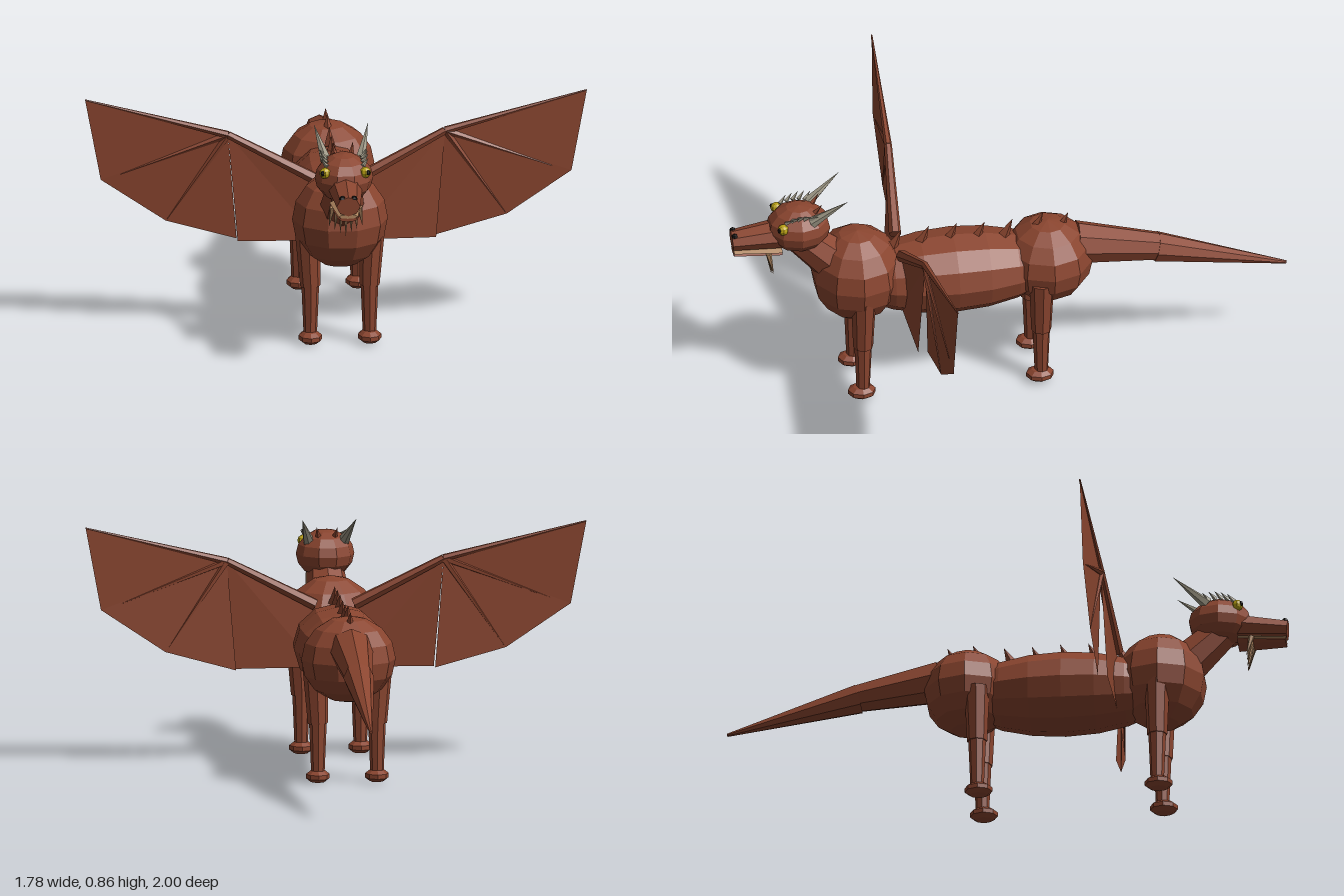
import * as THREE from 'three';

const mat = (name, color, side = THREE.FrontSide) => {
  const m = new THREE.MeshStandardMaterial({ color, flatShading: true, side });
  m.name = name;
  return m;
};

export function createModel() {
  const root = new THREE.Group();
  root.name = 'dragon';
  const hide = mat('hide brown', 0x8a452f);
  const membrane = mat('wing brown', 0x8a452f, THREE.DoubleSide);
  const horn = mat('horn grey', 0x9c9684);
  const tan = mat('beard tan', 0xb08660);
  const yellow = mat('eye yellow', 0xb8a012);
  const black = mat('black', 0x14100e);
  const V = (p) => new THREE.Vector3(...p);

  const add = (name, geo, material, parent = root) => {
    const m = new THREE.Mesh(geo, material);
    m.name = name;
    parent.add(m);
    return m;
  };
  // Faceted ellipsoid
  const ball = (name, pos, radii, material = hide, w = 10, h = 8) => {
    const m = add(name, new THREE.SphereGeometry(1, w, h), material);
    m.position.set(...pos);
    m.scale.set(...radii);
    return m;
  };
  // Tapered rod from a to b
  const limb = (name, a, b, ra, rb, material = hide, sides = 8, parent = root) => {
    const d = V(b).sub(V(a));
    const m = add(name, new THREE.CylinderGeometry(rb, ra, d.length(), sides), material, parent);
    m.position.copy(V(a)).addScaledVector(d, 0.5);
    m.quaternion.setFromUnitVectors(new THREE.Vector3(0, 1, 0), d.normalize());
    return m;
  };

  // Body
  ball('chest', [0, 0.465, 0.545], [0.17, 0.175, 0.165]);
  ball('hips', [0, 0.45, -0.14], [0.168, 0.155, 0.162]);
  const torso = ball('torso', [0, 0.435, 0.2], [0.163, 0.38, 0.148], hide, 12, 10);
  torso.rotation.x = Math.PI / 2;

  // Tail
  limb('tailBase', [0, 0.5, -0.24], [0, 0.447, -0.545], 0.078, 0.05);
  limb('tailTip', [0, 0.447, -0.53], [0, 0.325, -0.998], 0.055, 0.006);

  // Back spines, leaning to the rear
  [[0.4, 0.57], [0.3, 0.575], [0.2, 0.575], [0.1, 0.57], [0, 0.57], [-0.11, 0.585], [-0.2, 0.575]]
    .forEach(([z, y]) =>
      limb('backSpine', [0, y - 0.01, z + 0.015], [0, y + 0.055, z - 0.015], 0.021, 0, hide, 4));

  // Legs and feet
  for (const s of [-1, 1]) for (const z of [0.54, -0.1]) {
    limb('upperLeg', [s * 0.115, 0.42, z], [s * 0.105, 0.215, z], 0.045, 0.036);
    limb('lowerLeg', [s * 0.105, 0.23, z], [s * 0.105, 0.04, z], 0.032, 0.024);
    ball('foot', [s * 0.105, 0.025, z + 0.005], [0.044, 0.025, 0.052], hide, 8, 5);
  }

  // Neck and head
  limb('neck', [0, 0.5, 0.6], [0, 0.66, 0.77], 0.085, 0.062);
  ball('head', [0, 0.685, 0.755], [0.104, 0.087, 0.115]);
  const snout = limb('snout', [0, 0.663, 0.81], [0, 0.65, 0.995], 0.062, 0.042);
  snout.scale.z = 0.85;
  const slab = (name, y, h, w, material) => {
    const g = new THREE.CylinderGeometry(w * 0.62, w, 0.17, 8);
    g.scale(1, 1, h / w);
    const m = add(name, g, material);
    m.rotation.x = Math.PI / 2;
    m.position.set(0, y, 0.905);
  };
  slab('mouthLining', 0.612, 0.012, 0.056, tan);
  slab('lowerJaw', 0.602, 0.014, 0.054, hide);

  for (const s of [-1, 1]) {
    ball('nostril', [s * 0.021, 0.678, 0.987], [0.012, 0.011, 0.012], black, 6, 4);
    ball('eye', [s * 0.072, 0.722, 0.822], [0.02, 0.02, 0.02], yellow, 8, 6);
    ball('pupil', [s * 0.081, 0.725, 0.836], [0.008, 0.01, 0.008], black, 6, 4);
    limb('horn', [s * 0.062, 0.735, 0.715], [s * 0.096, 0.832, 0.592], 0.021, 0, horn, 6);
    // Brow spikes running from eye to horn
    for (let i = 0; i < 6; i++) {
      const z = 0.81 - i * 0.022;
      const y = 0.742 + 0.012 * Math.sin((i / 5) * Math.PI);
      limb('browSpike', [s * 0.064, y, z], [s * 0.085, y + 0.022, z - 0.025], 0.009, 0, horn, 4);
    }
    limb('crownSpike', [s * 0.03, 0.755, 0.7], [s * 0.037, 0.79, 0.675], 0.01, 0, hide, 4);
  }

  // Beard
  for (let i = -3; i <= 3; i++) {
    limb('beardSpike', [i * 0.016, 0.61, 0.87], [i * 0.02, 0.495 + Math.abs(i) * 0.012, 0.853],
      0.011, 0, tan, 5);
  }

  // Wings
  const panel = (name, corners, parent) => {
    const g = new THREE.BufferGeometry();
    g.setAttribute('position', new THREE.Float32BufferAttribute(corners.flat(), 3));
    const index = [];
    for (let i = 1; i < corners.length - 1; i++) index.push(0, i, i + 1);
    g.setIndex(index);
    const flat = g.toNonIndexed();
    flat.computeVertexNormals();
    add(name, flat, membrane, parent);
  };
  for (const s of [-1, 1]) {
    const wing = new THREE.Group();
    wing.name = s > 0 ? 'leftWing' : 'rightWing';
    root.add(wing);
    const P = (x, y, z) => [s * x, y, z];
    const shoulder = P(0.07, 0.56, 0.395), elbow = P(0.385, 0.725, 0.365), tip = P(0.89, 0.855, 0.336);
    panel('innerMembrane', [elbow, shoulder, P(0.06, 0.335, 0.395), P(0.352, 0.335, 0.385)], wing);
    panel('outerMembrane', [elbow, P(0.354, 0.335, 0.352), P(0.605, 0.405, 0.347),
      P(0.835, 0.56, 0.342), tip], wing);
    limb('upperArm', shoulder, elbow, 0.022, 0.014, hide, 6, wing);
    limb('forearm', elbow, tip, 0.014, 0.003, hide, 6, wing);
    limb('finger', elbow, P(0.765, 0.58, 0.346), 0.013, 0.001, hide, 5, wing);
    limb('finger', elbow, P(0.6, 0.41, 0.348), 0.013, 0.001, hide, 5, wing);
  }
  return root;
}
